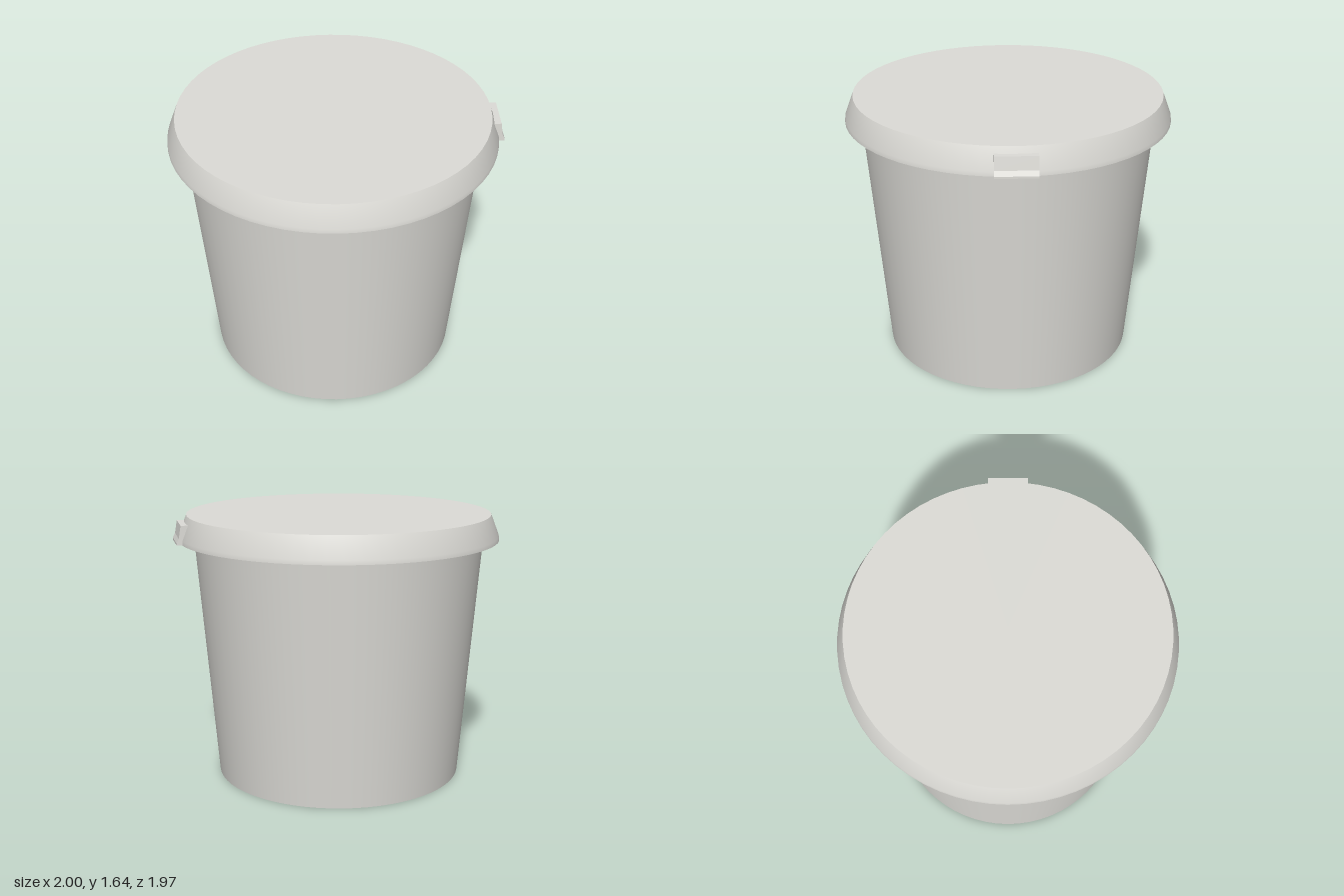
import * as THREE from 'three';
import { toCreasedNormals } from 'three/addons/utils/BufferGeometryUtils.js';

export function createModel() {
  const model = new THREE.Group();
  model.name = 'liddedBucket';
  const plastic = new THREE.MeshStandardMaterial({ color: 0xdddcd7 });
  plastic.name = 'offWhitePlastic';

  const add = (name, geometry, x, y, z) => {
    const mesh = new THREE.Mesh(geometry, plastic);
    mesh.name = name;
    mesh.position.set(x, y, z);
    model.add(mesh);
  };

  // the tab sticks out on one side, so the round parts sit slightly off centre
  const cx = -0.012;

  // tapered body with a flat base
  add('body', new THREE.CylinderGeometry(0.89, 0.767, 1.49, 64), cx, 0.745, 0);

  // lid: flat underside, short upright rim, sloped skirt, flat top
  const lidProfile = [
    [0, 1.49], [0.987, 1.49], [0.985, 1.515], [0.935, 1.645], [0, 1.645],
  ].map(([r, y]) => new THREE.Vector2(r, y));
  add('lid', toCreasedNormals(new THREE.LatheGeometry(lidProfile, 64), 0.5), cx, 0, 0);

  // pull tab: a side profile extruded along z
  const tabProfile = new THREE.Shape([
    [0.92, 1.49], [1.0, 1.49], [1.0, 1.502], [0.986, 1.53], [0.973, 1.607], [0.927, 1.607],
  ].map(([x, y]) => new THREE.Vector2(x, y)));
  const tab = new THREE.ExtrudeGeometry(tabProfile, { depth: 0.24, bevelEnabled: false });
  add('pullTab', tab, 0, 0, -0.12);

  return model;
}
